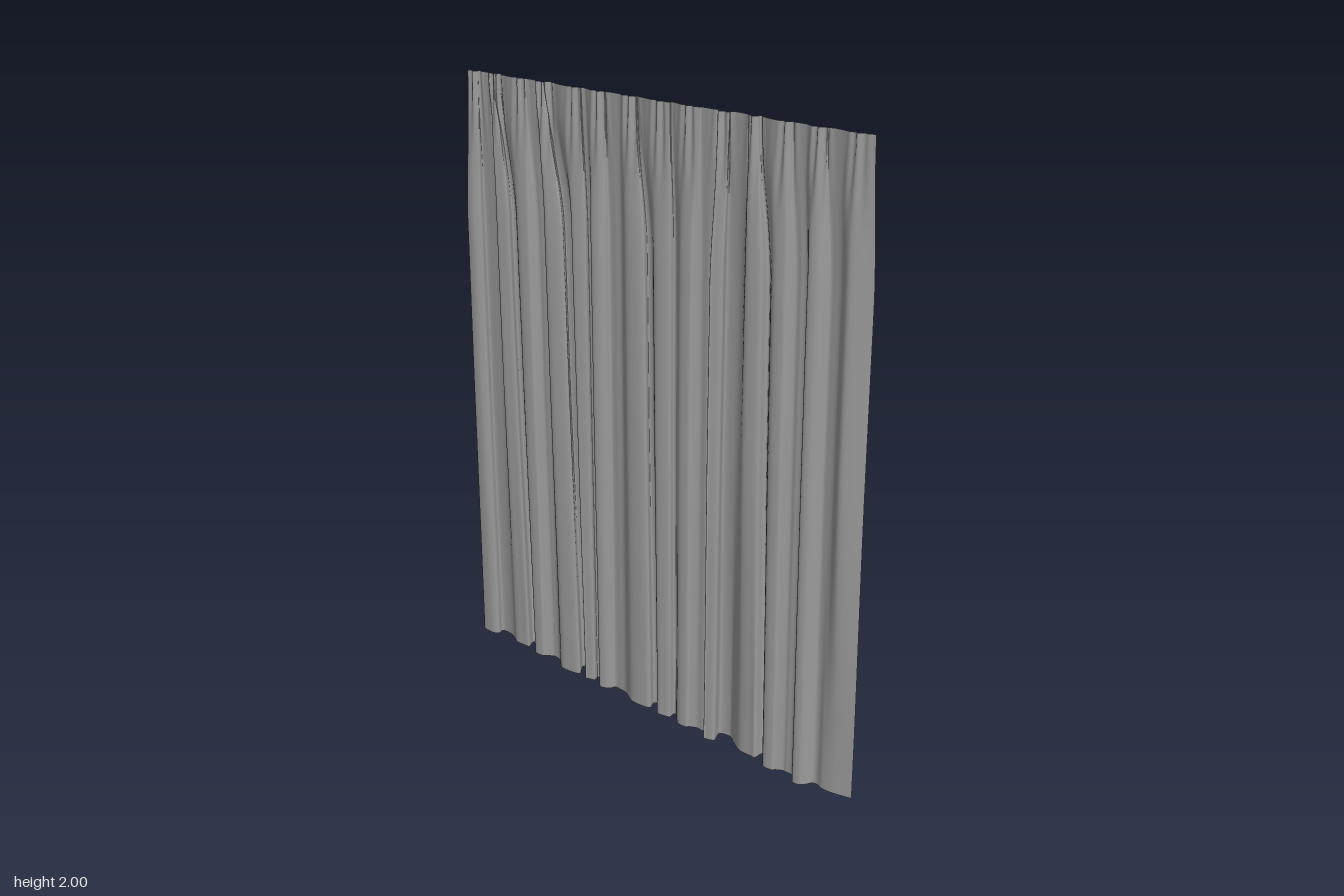
import * as THREE from 'three';

// Each tuck between two folds: [x at hem, x at heading, overlap, valley width, valley z at hem, crest z after it]
const TUCKS = [
  [-0.728, -0.735, 0.003, 0.06, -0.014, 0.01],
  [-0.582, -0.655, 0.012, 0.02, -0.035, 0.018],
  [-0.475, -0.515, -0.02, 0.045, -0.008, 0.027],
  [-0.325, -0.43, 0.026, 0.035, -0.035, 0.02],
  [-0.248, -0.275, 0.005, 0.018, -0.012, 0.025],
  [-0.165, -0.175, -0.008, 0.055, -0.006, 0.021],
  [0.008, -0.055, 0.01, 0.02, -0.024, 0.018],
  [0.097, 0.08, 0.002, 0.015, -0.016, 0.019],
  [0.195, 0.195, -0.022, 0.06, -0.002, 0.028],
  [0.288, 0.3, 0.013, 0.06, -0.036, 0.004],
  [0.452, 0.395, -0.002, 0.016, -0.034, 0.021],
  [0.55, 0.515, -0.02, 0.045, -0.002, 0.026],
  [0.66, 0.63, -0.014, 0.045, -0.014, -0.01],
];
const PLEATS = [-0.745, -0.65, -0.54, -0.43, -0.3, -0.195, -0.07, 0.04, 0.15, 0.27, 0.385, 0.5, 0.61, 0.73];
const COLS = 800, ROWS = 60, HEIGHT = 2;
const { lerp, smoothstep } = THREE.MathUtils;

// Smooth cross-section of the cloth at one height: t is 0 at the hem, 1 at the heading
function section(t, valleyScale, crestScale, crestFloor) {
  const points = [];
  const add = (x, z) => points.push(new THREE.Vector3(x, 0, z));
  const edge = lerp(0.802, 0.777, t);
  const crest = (z) => Math.max(z, crestFloor) * crestScale;
  // Outer edge curling back
  add(-edge + 0.01, -0.03 * valleyScale);
  add(-edge, 0.01 * crestScale);
  add(-edge + 0.016, 0.024 * crestScale);
  let z = crest(0.026);
  TUCKS.forEach(([xHem, xTop, overlap, width, valley, next], i) => {
    const x = lerp(xHem, xTop, t);
    const lap = overlap * (1 - 0.7 * t) / 2;
    const end = i + 1 < TUCKS.length ? lerp(TUCKS[i + 1][0], TUCKS[i + 1][1], t) : edge;
    const deep = valley * valleyScale;
    // Rolled lip of one fold, valley behind it, then the next crest
    add(x - 0.02, z * 0.95);
    add(x + lap, z * 0.5);
    add(x - lap, deep * 0.75);
    add(x + width / 2, deep);
    add(x + width, deep * 0.5);
    z = crest(next);
    add(lerp(x + width, end - 0.02, 0.5), z);
  });
  add(edge, -0.026 * valleyScale);
  return new THREE.CatmullRomCurve3(points, false, 'catmullrom', 0.45);
}

// Fine pinches gathered at the heading, fanning out as they fade downwards
function pinch(x, y) {
  const fade = smoothstep(y, 1.7, 1.97);
  const spread = 1 + 2 * (HEIGHT - y);
  return PLEATS.reduce((z, c) => {
    const d = (x - c) / spread;
    return z + fade * 0.006 * Math.exp(-((d / 0.024) ** 2)) * Math.cos((d * Math.PI * 2) / 0.028);
  }, 0);
}

// Cloth sheet: rows run from heading to hem, closer together near the pleats
function drapeGeometry() {
  const geometry = new THREE.PlaneGeometry(1, 1, COLS, ROWS);
  const position = geometry.attributes.position;
  const curves = [section(0, 1, 1, -0.01), section(0.38, 0.55, 1.2, 0.016), section(1, 0.25, 0.35, 0.016)];
  for (let i = 0; i <= COLS; i++) {
    const [hem, middle, heading] = curves.map((c) => c.getPoint(i / COLS));
    for (let j = 0; j <= ROWS; j++) {
      const y = HEIGHT * (1 - (j / ROWS) ** 1.6);
      const shift = 0.45 * (y / HEIGHT) + 0.55 * smoothstep(y, 1.55, 2);
      const x = lerp(hem.x, heading.x, shift);
      const fold = lerp(hem.z, middle.z, smoothstep(y, 0, 1.1));
      const z = lerp(fold, heading.z, smoothstep(y, 1.5, 2)) + pinch(x, y);
      position.setXYZ(j * (COLS + 1) + i, x, y, z);
    }
  }
  geometry.computeVertexNormals();
  return geometry;
}

export function createModel() {
  const group = new THREE.Group();
  group.name = 'curtain';
  const cloth = new THREE.Mesh(
    drapeGeometry(),
    new THREE.MeshStandardMaterial({ color: 0x9a9a9a, side: THREE.DoubleSide }));
  cloth.name = 'pleatedCloth';
  group.add(cloth);
  return group;
}
